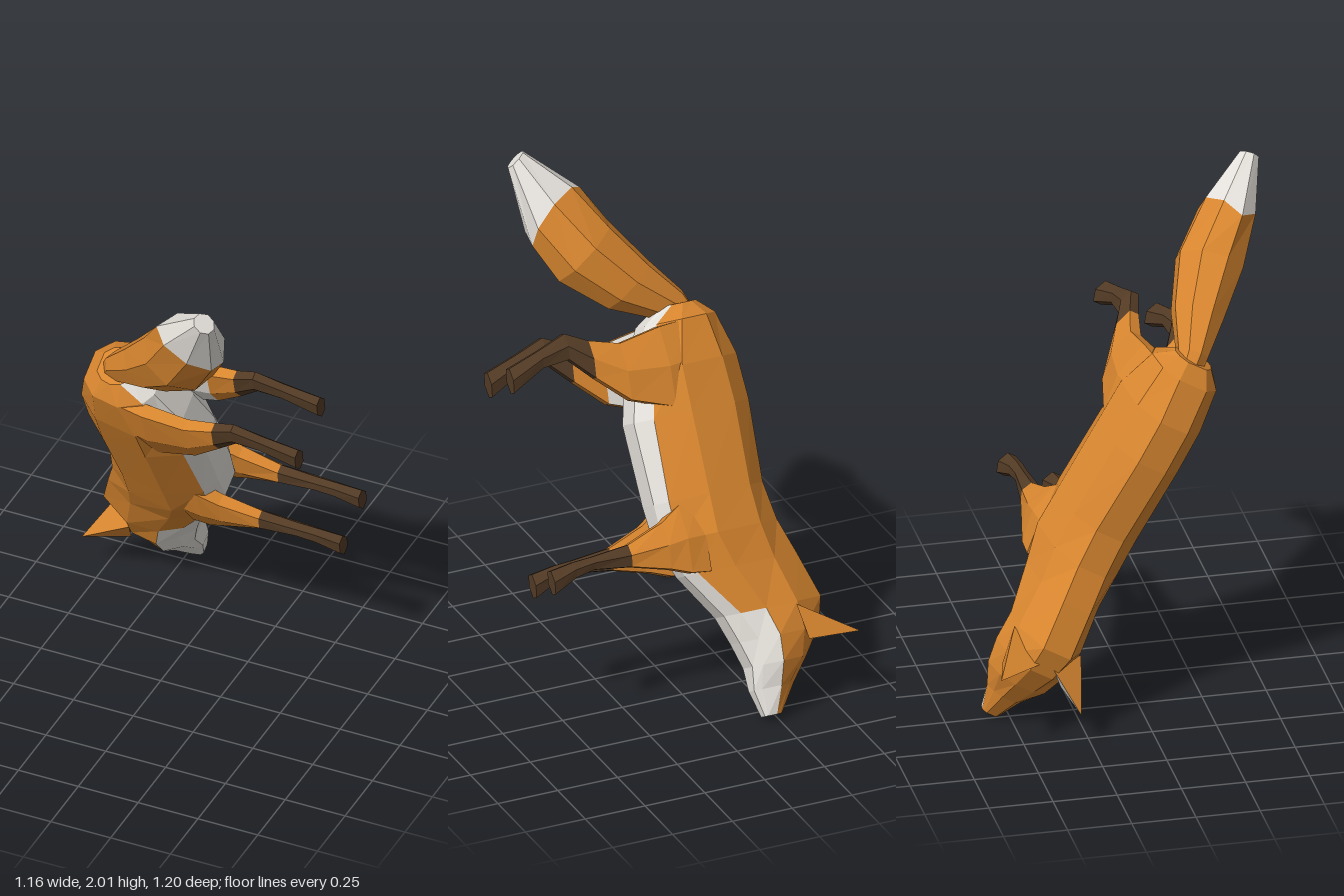
import * as THREE from 'three';

const flat = (name, color) => {
  const m = new THREE.MeshStandardMaterial({ color, flatShading: true });
  m.name = name;
  return m;
};

// Skin rings of points into a faceted solid; pick(i, j) gives the material index
// of each face (i = -1 and i = last for the caps). mirror flips it to the other side.
function loft(name, rings, materials, pick, mirror = false) {
  const faces = materials.map(() => []);
  const add = (m, a, b, c) => {
    const tri = (mirror ? [a, c, b] : [a, b, c]).map(p => new THREE.Vector3(mirror ? -p[0] : p[0], p[1], p[2]));
    if (new THREE.Triangle(...tri).getArea() < 1e-7) return;
    tri.forEach(p => faces[m].push(p.x, p.y, p.z));
  };
  const n = rings[0].length, last = rings.length - 1;
  for (let i = 0; i < last; i++) {
    for (let j = 0; j < n; j++) {
      const k = (j + 1) % n, m = pick(i, j);
      add(m, rings[i][j], rings[i][k], rings[i + 1][k]);
      add(m, rings[i][j], rings[i + 1][k], rings[i + 1][j]);
    }
  }
  for (let j = 1; j < n - 1; j++) {
    add(pick(-1, j), rings[0][0], rings[0][j + 1], rings[0][j]);
    add(pick(last, j), rings[last][0], rings[last][j], rings[last][j + 1]);
  }
  const geo = new THREE.BufferGeometry();
  geo.setAttribute('position', new THREE.Float32BufferAttribute(faces.flat(), 3));
  let start = 0;
  faces.forEach((f, m) => {
    geo.addGroup(start, f.length / 3, m);
    start += f.length / 3;
  });
  geo.computeVertexNormals();
  const mesh = new THREE.Mesh(geo, materials);
  mesh.name = name;
  return mesh;
}

export function createModel() {
  const mats = [flat('orangeFur', 0xd8862f), flat('whiteFur', 0xe4e0da), flat('darkBrownFur', 0x533b25)];
  const fox = new THREE.Group();
  fox.name = 'fox';

  // Body and head: z, then half width and height of underside, lower edge, side, shoulder, back
  const sections = [
    [-0.46, 0.04, 0.12, 0.07, 0.15, 0.08, 0.19, 0.07, 0.23, 0.04, 0.26],
    [-0.40, 0.05, 0.03, 0.10, 0.06, 0.14, 0.15, 0.12, 0.26, 0.06, 0.32],
    [-0.23, 0.06, -0.05, 0.12, 0.00, 0.17, 0.10, 0.14, 0.28, 0.06, 0.37],
    [-0.05, 0.06, -0.10, 0.12, -0.04, 0.17, 0.10, 0.14, 0.29, 0.06, 0.38],
    [0.27, 0.06, -0.09, 0.12, -0.05, 0.17, 0.10, 0.14, 0.28, 0.06, 0.365],
    [0.42, 0.05, -0.08, 0.11, -0.04, 0.17, 0.10, 0.14, 0.29, 0.06, 0.39],
    [0.56, 0.045, -0.02, 0.09, 0.02, 0.15, 0.15, 0.13, 0.32, 0.06, 0.44],
    [0.74, 0.05, 0.10, 0.10, 0.15, 0.14, 0.24, 0.14, 0.37, 0.06, 0.50],
    [0.85, 0.05, 0.14, 0.10, 0.20, 0.15, 0.27, 0.13, 0.38, 0.05, 0.47],
    [0.95, 0.05, 0.17, 0.09, 0.20, 0.13, 0.27, 0.10, 0.36, 0.04, 0.40],
    [1.04, 0.03, 0.165, 0.05, 0.19, 0.08, 0.26, 0.06, 0.30, 0.03, 0.33],
    [1.145, 0.02, 0.19, 0.03, 0.20, 0.035, 0.235, 0.03, 0.25, 0.02, 0.26],
  ];
  const bodyRings = sections.map(([z, ...p]) => {
    const half = [0, 2, 4, 6, 8].map(k => [p[k], p[k + 1], z]);
    return [...half, ...half.map(([x, y]) => [-x, y, z]).reverse()];
  });
  fox.add(loft('bodyAndHead', bodyRings, mats, (i, j) => {
    const underside = j === 0 || j >= 8;
    const cheek = i >= 7 && (j === 1 || j === 7);
    return underside || cheek || i === sections.length - 1 ? 1 : 0;
  }));

  // Tail: centre height and z, half depth, half width, lengthwise zigzag
  const tailSections = [
    [0.23, -0.38, 0.05, 0.05, 0],
    [0.17, -0.46, 0.075, 0.06, 0],
    [0.02, -0.57, 0.125, 0.10, 0],
    [-0.13, -0.73, 0.155, 0.13, 0],
    [-0.21, -0.88, 0.15, 0.10, 0.06],
    [-0.325, -1.125, 0.045, 0.04, 0],
  ];
  const tailRings = tailSections.map(([y, z, d, w, zig]) => Array.from({ length: 8 }, (_, j) => {
    const c = Math.cos(j * Math.PI / 4), s = Math.sin(j * Math.PI / 4), t = zig * Math.abs(c);
    return [w * c, y - 0.8 * d * s - 0.6 * t, z + 0.6 * d * s - 0.8 * t];
  }));
  fox.add(loft('tail', tailRings, mats, i => (i >= 4 ? 1 : 0)));

  // Legs: height, front z, back z, centre x, half width
  const legs = {
    frontLeg: [
      [0.06, 0.56, 0.28, 0.10, 0.05],
      [-0.02, 0.55, 0.29, 0.105, 0.055],
      [-0.10, 0.52, 0.34, 0.105, 0.05],
      [-0.25, 0.48, 0.395, 0.10, 0.037],
      [-0.40, 0.46, 0.41, 0.10, 0.03],
      [-0.48, 0.475, 0.415, 0.10, 0.03],
      [-0.58, 0.52, 0.43, 0.10, 0.036],
    ],
    hindLeg: [
      [0.20, -0.10, -0.40, 0.10, 0.05],
      [0.05, -0.08, -0.39, 0.12, 0.055],
      [-0.12, -0.14, -0.36, 0.12, 0.048],
      [-0.24, -0.25, -0.395, 0.115, 0.04],
      [-0.33, -0.34, -0.44, 0.115, 0.034],
      [-0.44, -0.33, -0.40, 0.115, 0.03],
      [-0.58, -0.26, -0.355, 0.115, 0.036],
    ],
  };
  for (const [name, rows] of Object.entries(legs)) {
    const rings = rows.map(([y, f, b, x, w]) => Array.from({ length: 6 }, (_, j) => {
      const a = j * Math.PI / 3;
      return [x + w * Math.cos(a), y, (f + b) / 2 + (f - b) / 2 * Math.sin(a) / 0.866];
    }));
    const pick = (i, j) => {
      if (i >= 3) return 2;
      return name === 'hindLeg' && i >= 0 && i < 2 && (j === 2 || j === 3) ? 1 : 0;
    };
    fox.add(loft(name + 'Left', rings, mats, pick), loft(name + 'Right', rings, mats, pick, true));
  }

  // Ears: three-sided points with a pale front face
  const tip = [0.18, 0.58, 0.90];
  const earRings = [[[0.03, 0.48, 0.81], [0.13, 0.39, 0.89], [0.15, 0.36, 0.75]], [tip, tip, tip]];
  const earPick = (i, j) => (i === 0 && j === 0 ? 1 : 0);
  fox.add(loft('earLeft', earRings, mats, earPick), loft('earRight', earRings, mats, earPick, true));

  // Lay the animal on its pose: feet towards +x, nose down and back
  const c = Math.cos(Math.PI / 6), s = 0.5;
  const basis = new THREE.Matrix4().makeBasis(
    new THREE.Vector3(0, -s, c), new THREE.Vector3(-1, 0, 0), new THREE.Vector3(0, -c, -s));
  fox.quaternion.setFromRotationMatrix(basis);
  fox.position.y = 1;
  const model = new THREE.Group();
  model.name = 'foxModel';
  model.add(fox);
  return model;
}
